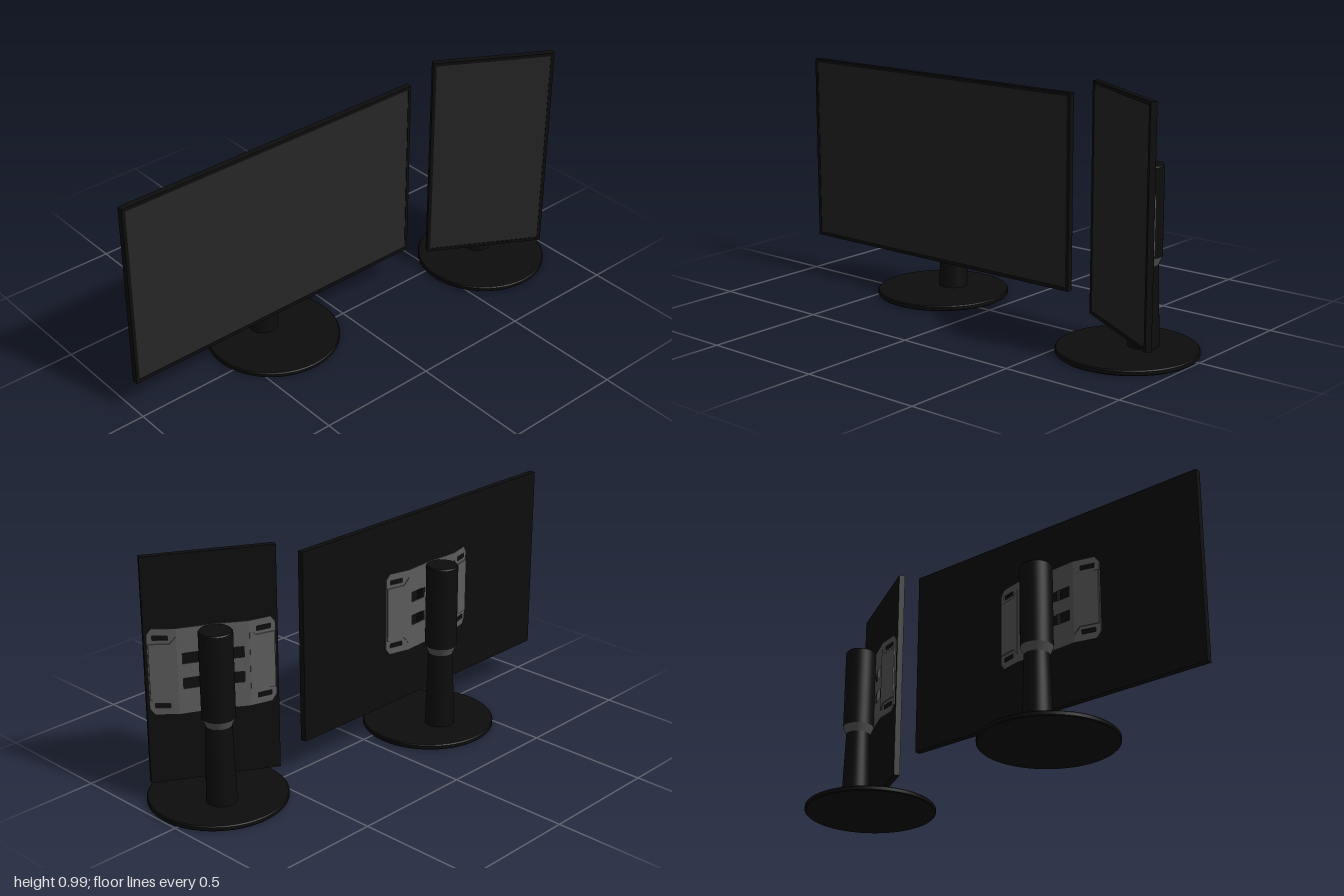
import * as THREE from 'three';

const black = new THREE.MeshStandardMaterial({ color: 0x0d0d0d });
const glass = new THREE.MeshStandardMaterial({ color: 0x262626 });
const grey = new THREE.MeshStandardMaterial({ color: 0x5c5c5c });

const MID = 0.54; // height of the mount centre
const RISE = 0.172; // half height of the mount

function add(parent, name, geometry, material, x = 0, y = 0, z = 0) {
  const mesh = new THREE.Mesh(geometry, material);
  mesh.name = name;
  mesh.position.set(x, y, z);
  parent.add(mesh);
  return mesh;
}

function lathe(points, segments = 64) {
  return new THREE.LatheGeometry(points.map(([r, y]) => new THREE.Vector2(r, y)), segments);
}

// Closed outline or hole from corner points, mirrored by side
function outline(points, side, Type = THREE.Shape) {
  return new Type(points.map(([x, y]) => new THREE.Vector2(x * side, y)));
}

function rect(x0, x1, y0, y1) {
  return [[x0, y0], [x1, y0], [x1, y1], [x0, y1]];
}

// Thin sheet leaning from depth z0 at |x| = x0 to depth z1 at |x| = x1
function leaningSheet(points, holes, side, [x0, z0], [x1, z1], depth = 0.004) {
  const shape = outline(points, side);
  shape.holes = holes.map((h) => outline(h, side, THREE.Path));
  const geometry = new THREE.ExtrudeGeometry(shape, { depth, bevelEnabled: false });
  const p = geometry.attributes.position;
  for (let i = 0; i < p.count; i++) {
    const t = (Math.abs(p.getX(i)) - x0) / (x1 - x0);
    p.setZ(i, p.getZ(i) + z0 + (z1 - z0) * t);
  }
  geometry.computeVertexNormals();
  return geometry;
}

// Winged bracket joining the column to the back of the screen
function createMount() {
  const mount = new THREE.Group();
  mount.name = 'mountBracket';
  mount.position.y = MID;
  const peak = [0.135, -0.01];
  const edge = [0.24, 0.016];
  for (const side of [-1, 1]) {
    // inner panel with two square openings
    const windows = [-1, 1].map((s) => rect(0.035, 0.115, s * 0.05 - 0.021, s * 0.05 + 0.021));
    add(mount, 'innerPanel',
      leaningSheet(rect(0, 0.135, -RISE, RISE), windows, side, [0, -0.003], peak), grey);

    // outer wing with clipped corners and screw slots
    const wing = [[0.135, -RISE], [0.222, -RISE], [0.24, -RISE + 0.025],
      [0.24, RISE - 0.025], [0.222, RISE], [0.135, RISE]];
    const slots = [-1, 1].map((s) => rect(0.165, 0.22, s * 0.135 - 0.009, s * 0.135 + 0.009));
    add(mount, 'outerWing', leaningSheet(wing, slots, side, peak, edge), grey);

    // raised pad between the screw slots
    const pad = [[0.137, -0.14], [0.16, -0.112], [0.236, -0.112],
      [0.236, 0.112], [0.16, 0.112], [0.137, 0.14]];
    add(mount, 'raisedPad',
      leaningSheet(pad, [], side, [0.135, -0.013], [0.24, 0.011], 0.005), grey);
  }
  add(mount, 'mountHub', new THREE.BoxGeometry(0.1, 0.22, 0.03), black, 0, 0, 0.011);
  return mount;
}

// Round foot and telescopic column
function createStand() {
  const stand = new THREE.Group();
  stand.name = 'stand';
  add(stand, 'baseDisc', lathe([[0, 0], [0.266, 0], [0.266, 0], [0.27, 0.004], [0.27, 0.004],
    [0.27, 0.017], [0.27, 0.017], [0.266, 0.021], [0.266, 0.021], [0, 0.021]], 96), black);
  const z = -0.065;
  add(stand, 'lowerColumn', lathe([[0.06, 0.02], [0.05, 0.336]]), black, 0, 0, z);
  add(stand, 'columnCollar', lathe([[0.05, 0.336], [0.064, 0.368]]), grey, 0, 0, z);
  add(stand, 'upperColumn', lathe([[0.064, 0.368], [0.064, 0.707], [0.064, 0.707],
    [0.06, 0.712], [0.06, 0.712], [0, 0.712]]), black, 0, 0, z);
  return stand;
}

// Flat display with a narrow raised bezel
function createScreen(width, height) {
  const screen = new THREE.Group();
  screen.name = 'screen';
  screen.position.set(0, 0.534, 0.034);
  const w = width / 2, h = height / 2, b = 0.014;
  add(screen, 'screenHousing', new THREE.BoxGeometry(width, height, 0.021), black, 0, 0, -0.002);
  const frame = outline(rect(-w, w, -h, h), 1);
  frame.holes.push(outline(rect(-w + b, w - b, -h + b, h - b), 1, THREE.Path));
  add(screen, 'bezel',
    new THREE.ExtrudeGeometry(frame, { depth: 0.004, bevelEnabled: false }), black, 0, 0, 0.0085);
  add(screen, 'displayPanel',
    new THREE.BoxGeometry(width - 2 * b, height - 2 * b, 0.002), glass, 0, 0, 0.0095);
  return screen;
}

function createMonitor(name, width, height) {
  const monitor = new THREE.Group();
  monitor.name = name;
  monitor.add(createStand(), createMount(), createScreen(width, height));
  return monitor;
}

export function createModel() {
  const model = new THREE.Group();
  model.name = 'monitorPair';

  const wide = createMonitor('landscapeMonitor', 1.376, 0.78);
  wide.position.set(-0.312, 0, -0.07);

  const tall = createMonitor('portraitMonitor', 0.5, 0.905);
  tall.position.set(0.727, 0, 0.068);
  tall.rotation.y = -Math.PI / 6;

  model.add(wide, tall);
  return model;
}
